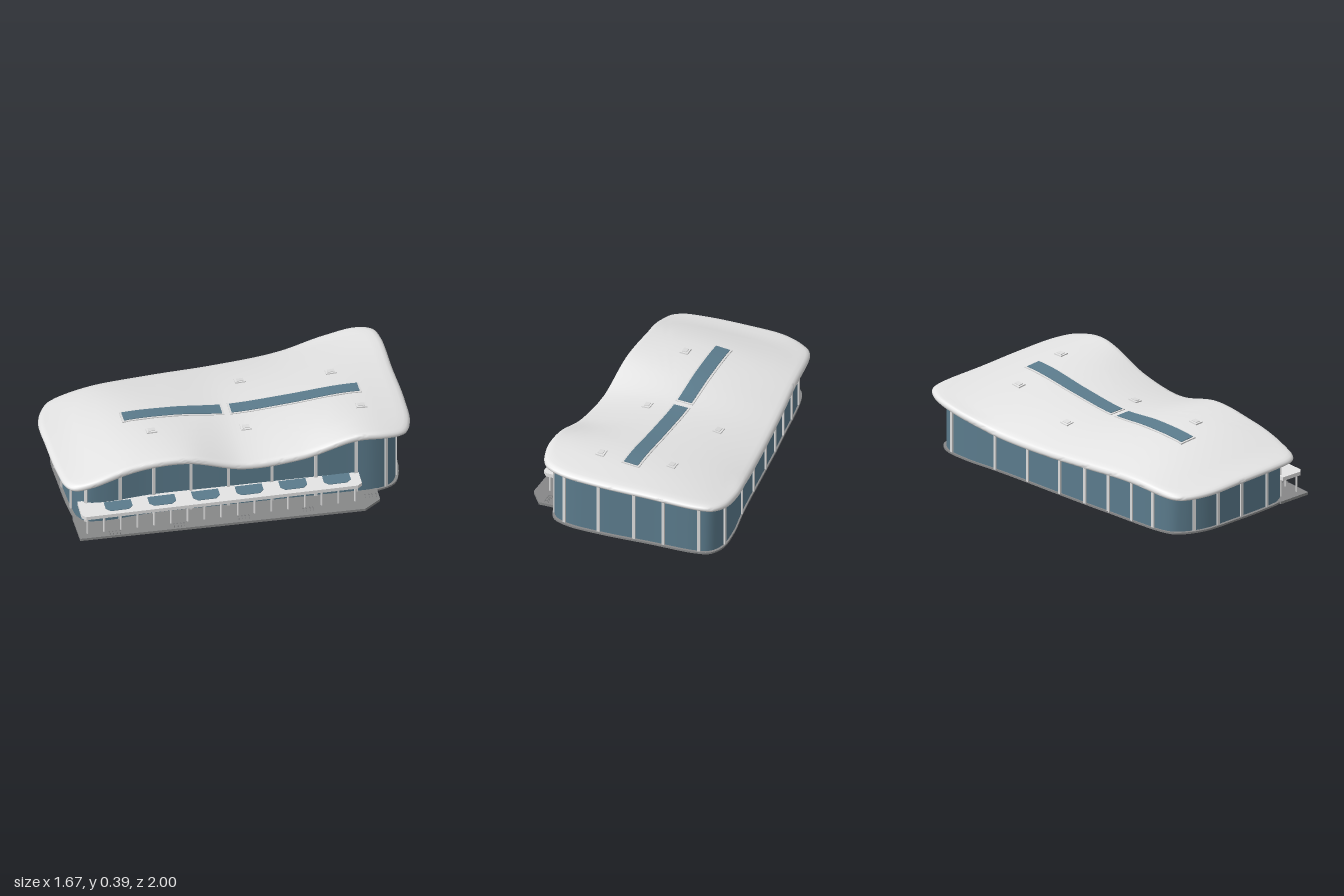
import * as THREE from 'three';
import { toCreasedNormals } from 'three/addons/utils/BufferGeometryUtils.js';

const mat = (name, color) => Object.assign(new THREE.MeshStandardMaterial({ color }), { name });

// Everything is built along x (length) and z (towards the canopy), then turned 50 degrees.
const OUTLINE = [
  [-0.86, -0.37], [-0.4, -0.45], [-0.013, -0.498], [0.266, -0.53], [0.414, -0.55], [0.615, -0.582],
  [0.778, -0.582], [0.853, -0.54], [0.878, -0.463], [0.886, -0.19], [0.895, 0.078], [0.883, 0.29],
  [0.84, 0.386], [0.737, 0.426], [0.566, 0.426], [0.247, 0.419], [-0.118, 0.412], [-0.522, 0.405],
  [-0.782, 0.422], [-0.887, 0.405], [-0.923, 0.363], [-0.944, 0.244], [-0.956, 0.012],
  [-0.956, -0.19], [-0.914, -0.311],
];
const outlineCurve = new THREE.CatmullRomCurve3(OUTLINE.map(([x, z]) => new THREE.Vector3(x, 0, z)), true);
const outline = outlineCurve.getSpacedPoints(300).slice(0, -1);

// Roof waves: heights along the back, middle and front, blended across the depth
const wave = (ys) => new THREE.SplineCurve(ys.map((y, i) => new THREE.Vector2(-0.9 + 0.3 * i, y)));
const backWave = wave([0.225, 0.24, 0.24, 0.235, 0.245, 0.285, 0.325]);
const midWave = wave([0.26, 0.34, 0.345, 0.315, 0.33, 0.355, 0.34]);
const frontWave = wave([0.265, 0.34, 0.36, 0.288, 0.31, 0.39, 0.36]);
function roofY(x, z) {
  const t = THREE.MathUtils.clamp((x + 0.9) / 1.8, 0, 1);
  const [b, m, f] = [backWave, midWave, frontWave].map((w) => w.getPoint(t).y);
  const zb = -0.5, zf = 0.4, v = THREE.MathUtils.clamp(z, -0.54, 0.42);
  return b * v * (v - zf) / (zb * (zb - zf)) + m * (v - zb) * (v - zf) / (zb * zf)
    + f * v * (v - zb) / (zf * (zf - zb));
}

// Skin closed rings of points, given from the top centre outwards and down
function loft(rings, crease) {
  const n = rings[0].length, index = [];
  for (let j = 0; j < rings.length - 1; j++) {
    for (let i = 0; i < n; i++) {
      const k = (i + 1) % n, a = j * n, b = a + n;
      index.push(a + i, a + k, b + k, a + i, b + k, b + i);
    }
  }
  const geo = new THREE.BufferGeometry().setFromPoints(rings.flat());
  geo.setIndex(index);
  return toCreasedNormals(geo, crease);
}
const ring = (scale, yAt) => outline.map((p) => {
  const x = p.x * scale, z = p.z * scale;
  return new THREE.Vector3(x, yAt(x, z), z);
});

export function createModel() {
  const model = new THREE.Group();
  model.name = 'waveRoofHall';
  const body = new THREE.Group();
  body.name = 'building';
  body.rotation.y = THREE.MathUtils.degToRad(50);
  model.add(body);

  const roofMat = mat('roofPaleGrey', 0xe4e4e4);
  const glassMat = mat('blueGlass', 0x5b7b8c);
  const frameMat = mat('frameLightGrey', 0xdcdcdc);
  const paveMat = mat('pavingGrey', 0x868788);

  const add = (name, geo, material, x = 0, y = 0, z = 0) => {
    const mesh = new THREE.Mesh(geo, material);
    mesh.name = name;
    mesh.position.set(x, y, z);
    body.add(mesh);
    return mesh;
  };
  // Flat slab from a plan polygon, its top at height y
  const slab = (name, pts, y, depth, material) => {
    const shape = new THREE.Shape(pts.map(([x, z]) => new THREE.Vector2(x, z)));
    const geo = new THREE.ExtrudeGeometry(shape, { depth, bevelEnabled: false });
    return add(name, geo.rotateX(Math.PI / 2), material, 0, y, 0);
  };

  // Roof shell with a rounded lip
  const profile = [0.002, 0.12, 0.25, 0.4, 0.55, 0.7, 0.82, 0.92, 0.965].map((s) => [s, 0]);
  profile.push([0.985, -0.004], [0.996, -0.011], [1, -0.02], [0.996, -0.029], [0.985, -0.036],
    [0.95, -0.04], [0.7, -0.04], [0.35, -0.04], [0.002, -0.04]);
  add('roof', loft(profile.map(([s, dy]) => ring(s, (x, z) => roofY(x, z) + dy)), 1), roofMat);

  // Glass walls reaching up under the roof
  const WALL = 0.922;
  add('glassWalls', loft([ring(WALL, (x, z) => roofY(x, z) - 0.03), ring(WALL, () => 0.008)], 1), glassMat);

  // Base and the paved terrace in front
  const flat = (s, y) => ring(s, () => y);
  add('base', loft([flat(0.002, 0.01), flat(0.938, 0.01), flat(0.938, 0), flat(0.002, 0)], 0.6), paveMat);
  const terrace = [[-0.88, 0.33], [-0.875, 0.515], [0.6, 0.55], [0.69, 0.485], [0.69, 0.33]];
  slab('terrace', terrace, 0.014, 0.014, paveMat);

  // Mullions on the four walls, each snapped to the nearest point of the glass
  const mullions = [
    ...[-0.84, -0.65, -0.46, -0.27, -0.08, 0.14, 0.37, 0.58, 0.75].map((x) => [x, 0.39]),
    ...[-0.73, -0.57, -0.41, -0.24, -0.06, 0.165, 0.4, 0.68].map((x) => [x, -0.47]),
    ...[0.29, 0.1, -0.09, -0.26, -0.45].map((z) => [0.82, z]),
    ...[-0.25, -0.1, 0.07, 0.25].map((z) => [-0.88, z]),
  ];
  const wallPoints = ring(WALL, () => 0);
  const n = wallPoints.length;
  for (const [x, z] of mullions) {
    const gap = (p) => Math.hypot(p.x - x, p.z - z);
    const p = wallPoints.reduce((best, q) => (gap(q) < gap(best) ? q : best));
    const i = wallPoints.indexOf(p);
    const t = wallPoints[(i + 1) % n].clone().sub(wallPoints[(i + n - 1) % n]);
    const h = roofY(p.x, p.z) - 0.03;
    const bar = add('mullion', new THREE.BoxGeometry(0.016, h, 0.016), frameMat, p.x, h / 2 + 0.005, p.z);
    bar.rotation.y = Math.atan2(-t.z, t.x);
  }

  // Plates that follow the roof surface
  const roofPlate = (name, x0, x1, z0, z1, lift, material) => {
    const geo = new THREE.BoxGeometry(x1 - x0, 0.009, z1 - z0, 16, 1, 2);
    geo.translate((x0 + x1) / 2, lift - 0.0045, (z0 + z1) / 2);
    const pos = geo.attributes.position;
    for (let i = 0; i < pos.count; i++) {
      pos.setY(i, pos.getY(i) + roofY(pos.getX(i), pos.getZ(i)));
    }
    geo.computeVertexNormals();
    add(name, geo, material);
  };
  for (const [x0, x1] of [[-0.55, -0.04], [0.01, 0.675]]) {
    roofPlate('skylightFrame', x0 - 0.01, x1 + 0.01, -0.066, 0.03, 0.004, frameMat);
    roofPlate('skylightGlass', x0, x1, -0.056, 0.02, 0.007, glassMat);
  }
  for (const [x, z] of [[0.568, -0.202], [0.657, 0.153], [0.108, -0.267], [0.058, 0.147], [-0.431, 0.14]]) {
    roofPlate('roofHatch', x - 0.028, x + 0.028, z - 0.022, z + 0.022, 0.006, roofMat);
    roofPlate('roofHatchCap', x - 0.018, x + 0.018, z - 0.013, z + 0.013, 0.009, frameMat);
  }

  // Entrance canopy with chamfered glass panels
  slab('canopy', [[-0.86, 0.36], [-0.86, 0.475], [-0.84, 0.495], [0.57, 0.505], [0.595, 0.485], [0.595, 0.36]],
    0.134, 0.02, roofMat);
  for (let i = 0; i < 6; i++) {
    const x = -0.66 + 0.227 * i;
    const panel = [[-0.07, 0.395], [-0.07, 0.447], [-0.047, 0.47], [0.047, 0.47], [0.07, 0.447], [0.07, 0.395]];
    slab('canopyGlass', panel.map(([px, z]) => [x + px, z]), 0.137, 0.005, glassMat);
  }

  // Canopy posts
  const postGeo = new THREE.CylinderGeometry(0.006, 0.006, 0.11, 8);
  for (let i = 0; i < 17; i++) add('canopyPost', postGeo, frameMat, -0.83 + 0.087 * i, 0.063, 0.475);

  // Low hoops for bicycles along the terrace and at its far end
  const hoopGeo = new THREE.TorusGeometry(0.012, 0.002, 5, 10, Math.PI).rotateY(Math.PI / 2);
  for (let g = 0; g < 5; g++) {
    for (let i = 0; i < 4; i++) {
      add('bicycleHoop', hoopGeo, paveMat, -0.72 + 0.335 * g + 0.018 * i, 0.014, g === 4 ? 0.45 : 0.5);
    }
  }
  return model;
}
